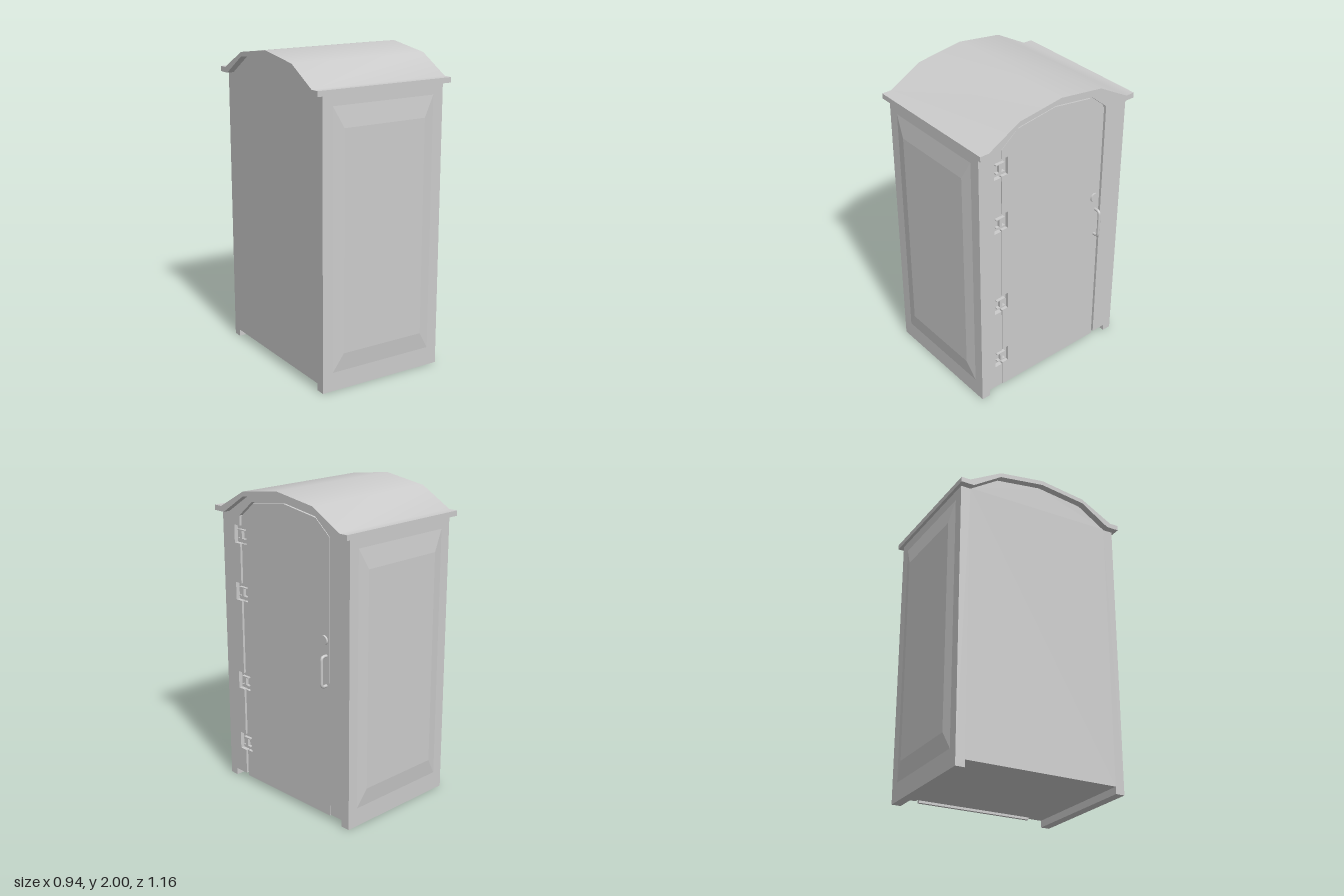
import * as THREE from 'three';
import { toCreasedNormals } from 'three/addons/utils/BufferGeometryUtils.js';

const material = new THREE.MeshStandardMaterial({ color: 0xcccccc });
const HALF_W = 0.425;   // cabin half width, door side is +x
const HALF_D = 0.56;    // cabin half depth
const CORE_X = 0.398;   // plane behind the door
const DOOR_X = 0.418;   // door face, slightly recessed
const HINGES = [0.27, 0.7, 1.3, 1.67];
const HINGE_H = 0.057;

function addMesh(parent, name, geometry, x = 0, y = 0, z = 0) {
  const mesh = new THREE.Mesh(geometry, material);
  mesh.name = name;
  mesh.position.set(x, y, z);
  parent.add(mesh);
  return mesh;
}

// Extrudes a [z, y] outline along x from x0 to x1
function slab(points, x0, x1, hole) {
  const toVec = ([z, y]) => new THREE.Vector2(-z, y);
  const shape = new THREE.Shape(points.map(toVec));
  if (hole) shape.holes.push(new THREE.Path(hole.map(toVec)));
  const geometry = new THREE.ExtrudeGeometry(shape, { depth: x1 - x0, bevelEnabled: false });
  return geometry.rotateY(Math.PI / 2).translate(x0, 0, 0);
}

// Mirrors a half outline, listed from +z towards the middle, to the -z side
const mirrored = (half) => [...half, ...half.filter((p) => p[0] > 0).reverse().map(([z, y]) => [-z, y])];

// Upright edge at z, stepped to zPocket around each hinge, from bottom to top
const hingeEdge = (z, zPocket) => HINGES.flatMap((y) => [
  [z, y - HINGE_H], [zPocket, y - HINGE_H], [zPocket, y + HINGE_H], [z, y + HINGE_H],
]);

// Shallow raised panel with sloping borders
function raisedPanel() {
  const geometry = new THREE.BoxGeometry(0.71, 1.62, 0.014);
  const p = geometry.attributes.position;
  for (let i = 0; i < p.count; i++) {
    if (p.getZ(i) > 0) p.setXY(i, p.getX(i) * 0.57 / 0.71, p.getY(i) * 1.375 / 1.62 - 0.007);
  }
  geometry.computeVertexNormals();
  return geometry;
}

export function createModel() {
  const model = new THREE.Group();
  model.name = 'portableCabin';

  // Cabin core with two foot rails
  const top = [[HALF_D, 1.81], [0.495, 1.81], [0.305, 1.93], [0, 1.97]];
  const feet = [[0.5, 0.045], [0.5, 0], [HALF_D, 0]];
  addMesh(model, 'cabin', slab(mirrored([...feet, ...top]), -HALF_W, CORE_X));

  // Frame around the door, with hinge pockets in its edge
  const frame = [
    ...mirrored([[0.4, 0.045], ...feet, ...top]),
    [-0.4, 1.79], [-0.28, 1.89], [0, 1.93], [0.28, 1.89], [0.4, 1.79],
    ...hingeEdge(0.4, 0.452).reverse(),
  ];
  addMesh(model, 'doorFrame', slab(frame, CORE_X, HALF_W));

  // Door with a recessed pointed panel
  const door = [
    [0.39, 0.03], ...hingeEdge(0.39, 0.346),
    [0.39, 1.785], [0.275, 1.88], [0, 1.92], [-0.275, 1.88], [-0.39, 1.785], [-0.39, 0.03],
  ];
  const recess = [[0.265, 0.78], [0.265, 1.13], [0, 1.21], [-0.3, 1.13], [-0.3, 0.78]];
  addMesh(model, 'door', slab(door, CORE_X, DOOR_X, recess));

  // Hinges sunk into their pockets
  for (const y of HINGES) {
    const hinge = new THREE.Group();
    hinge.name = 'hinge';
    hinge.position.set(CORE_X, y, 0.399);
    addMesh(hinge, 'hingePin', new THREE.BoxGeometry(0.04, 0.056, 0.018));
    for (const s of [-1, 1]) {
      addMesh(hinge, 'hingeBar', new THREE.BoxGeometry(0.04, 0.006, 0.062), 0, s * 0.028, 0);
    }
    model.add(hinge);
  }

  // Pull handle
  const grip = new THREE.CurvePath();
  const v = (x, y) => new THREE.Vector3(x, y, -0.362);
  const out = 0.458, r = 0.022, lo = 0.882, hi = 1.07;
  grip.add(new THREE.LineCurve3(v(0.405, lo), v(out - r, lo)));
  grip.add(new THREE.QuadraticBezierCurve3(v(out - r, lo), v(out, lo), v(out, lo + r)));
  grip.add(new THREE.LineCurve3(v(out, lo + r), v(out, hi - r)));
  grip.add(new THREE.QuadraticBezierCurve3(v(out, hi - r), v(out, hi), v(out - r, hi)));
  grip.add(new THREE.LineCurve3(v(out - r, hi), v(0.405, hi)));
  addMesh(model, 'handle', new THREE.TubeGeometry(grip, 48, 0.01, 10, false));

  // Round latch
  const disc = new THREE.CylinderGeometry(0.03, 0.03, 0.02, 24).rotateZ(Math.PI / 2);
  addMesh(model, 'latch', disc, 0.42, 1.165, -0.346);

  // Raised panels on the front and back walls
  for (const s of [1, -1]) {
    const panel = addMesh(model, s > 0 ? 'frontPanel' : 'backPanel', raisedPanel(), 0, 0.93, s * (HALF_D + 0.007));
    if (s < 0) panel.rotation.y = Math.PI;
  }

  // Arched roof with flat eaves
  const roof = [
    ...mirrored([[0.58, 1.805], [0.58, 1.838], [0.52, 1.838], [0.305, 1.957], [0, 2]]),
    ...mirrored([[0.495, 1.805], [0.305, 1.928], [0, 1.97]]).reverse(),
  ];
  addMesh(model, 'roof', toCreasedNormals(slab(roof, -0.47, 0.47), 0.7));

  return model;
}
